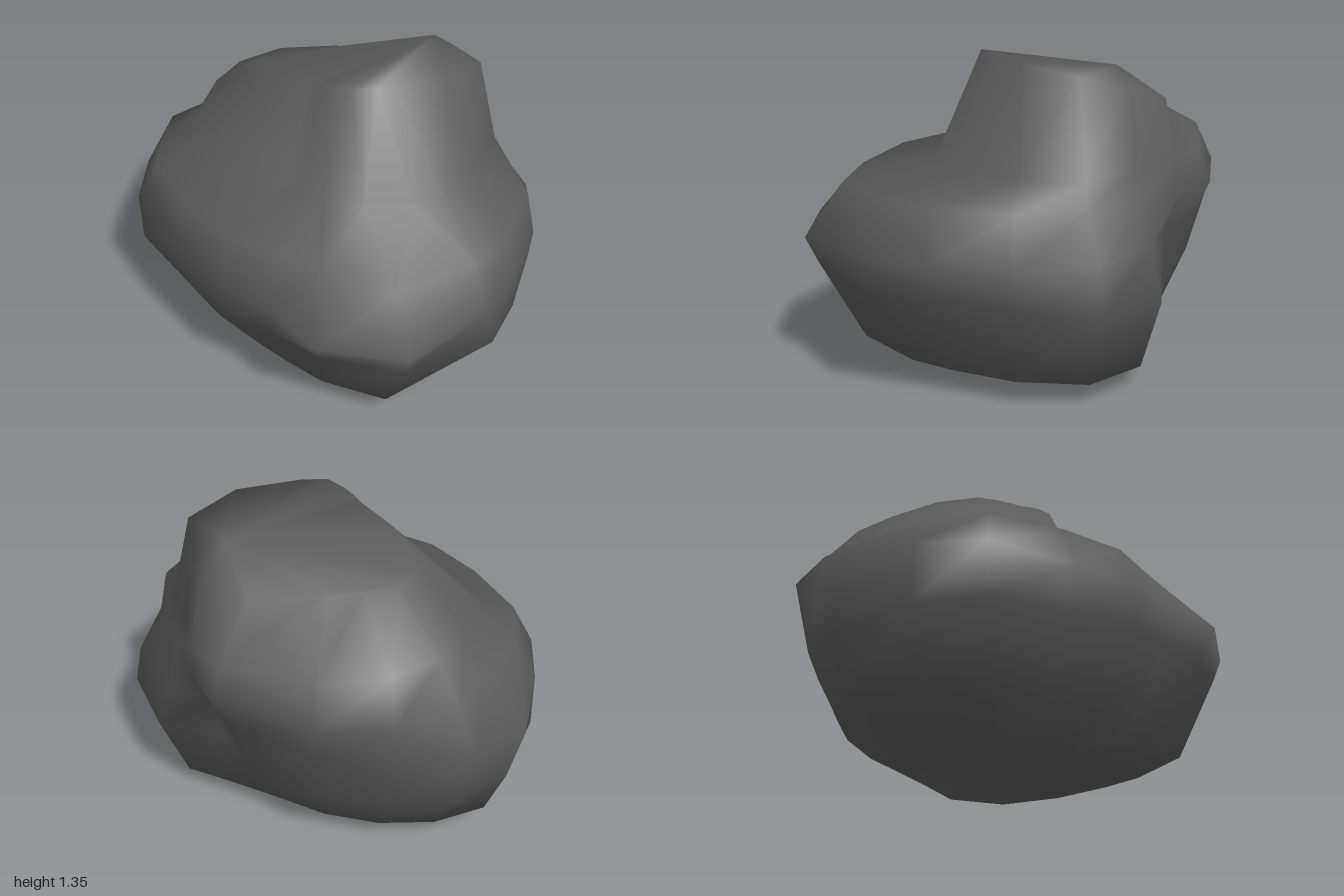
import * as THREE from 'three';

// Directions (degrees) of the boulder's corners and hollows,
// counted from +x round through +z (front), -x and -z (back).
const directions = [0, 14, 37, 57, 72, 90, 115, 140, 158, 180, 196, 214, 236, 268, 283, 298, 318, 339];
const SIDES = directions.length;

// Cross-sections from the ground up: height, tilt along x and z, and
// one radius for each direction.
const sections = [
  // flat underside
  { y: 0.015, tx: 0, tz: 0, r: [0.42, 0.42, 0.46, 0.42, 0.38, 0.36, 0.42, 0.4, 0.38, 0.34, 0.32, 0.32, 0.3, 0.27, 0.28, 0.34, 0.38, 0.4] },
  // rounded foot
  { y: 0.12, tx: -0.01, tz: 0.03, r: [0.76, 0.78, 0.82, 0.69, 0.61, 0.57, 0.6, 0.66, 0.71, 0.85, 0.76, 0.66, 0.58, 0.56, 0.62, 0.76, 0.82, 0.78] },
  // belly
  { y: 0.43, tx: 0.05, tz: 0.05, r: [0.96, 1.03, 1.01, 0.88, 0.77, 0.76, 0.75, 0.88, 0.91, 0.94, 0.9, 0.8, 0.74, 0.66, 0.64, 0.87, 0.96, 0.92] },
  // widest band
  { y: 0.64, tx: -0.03, tz: 0, r: [0.95, 0.98, 1.06, 0.965, 0.8, 0.77, 0.77, 0.88, 0.9, 1.0, 0.98, 0.85, 0.82, 0.74, 0.7, 0.8, 0.92, 0.93] },
  // rim of the shelf
  { y: 0.83, tx: 0, tz: 0.02, r: [0.9, 0.9, 0.88, 0.76, 0.7, 0.7, 0.7, 0.78, 0.8, 0.77, 0.86, 0.84, 0.84, 0.82, 0.77, 0.74, 0.78, 0.88] },
  // foot of the upper lump
  { y: 0.95, tx: -0.08, tz: 0, r: [0.59, 0.54, 0.46, 0.38, 0.33, 0.3, 0.38, 0.52, 0.62, 0.67, 0.72, 0.75, 0.76, 0.77, 0.75, 0.7, 0.74, 0.63] },
  // sloping crown
  { y: 1.28, tx: 0.2, tz: 0.18, r: [0.33, 0.29, 0.25, 0.19, 0.16, 0.14, 0.15, 0.2, 0.28, 0.41, 0.42, 0.4, 0.42, 0.58, 0.69, 0.64, 0.64, 0.48] },
];

function boulderGeometry() {
  const points = [];
  const faces = [];
  for (const { y, tx, tz, r } of sections) {
    directions.forEach((degrees, i) => {
      const a = THREE.MathUtils.degToRad(degrees);
      const x = r[i] * Math.cos(a);
      const z = r[i] * Math.sin(a);
      points.push(x, y + tx * x + tz * z, z);
    });
  }
  // Centre of the underside and high point of the crown
  const bottom = points.length / 3;
  const top = bottom + 1;
  points.push(0.03, 0, 0.03, 0.21, 1.32, -0.48);

  const last = (sections.length - 1) * SIDES;
  for (let i = 0; i < SIDES; i++) {
    const j = (i + 1) % SIDES;
    for (let k = 0; k < last; k += SIDES) {
      faces.push(k + i, k + SIDES + i, k + j);
      faces.push(k + j, k + SIDES + i, k + SIDES + j);
    }
    faces.push(bottom, i, j);
    faces.push(top, last + j, last + i);
  }
  const geometry = new THREE.BufferGeometry();
  geometry.setAttribute('position', new THREE.Float32BufferAttribute(points, 3));
  geometry.setIndex(faces);
  geometry.computeVertexNormals();
  return geometry;
}

export function createModel() {
  const model = new THREE.Group();
  model.name = 'rock';
  const stone = new THREE.MeshStandardMaterial({ color: 0x595959 });
  const boulder = new THREE.Mesh(boulderGeometry(), stone);
  boulder.name = 'boulder';
  model.add(boulder);
  return model;
}
